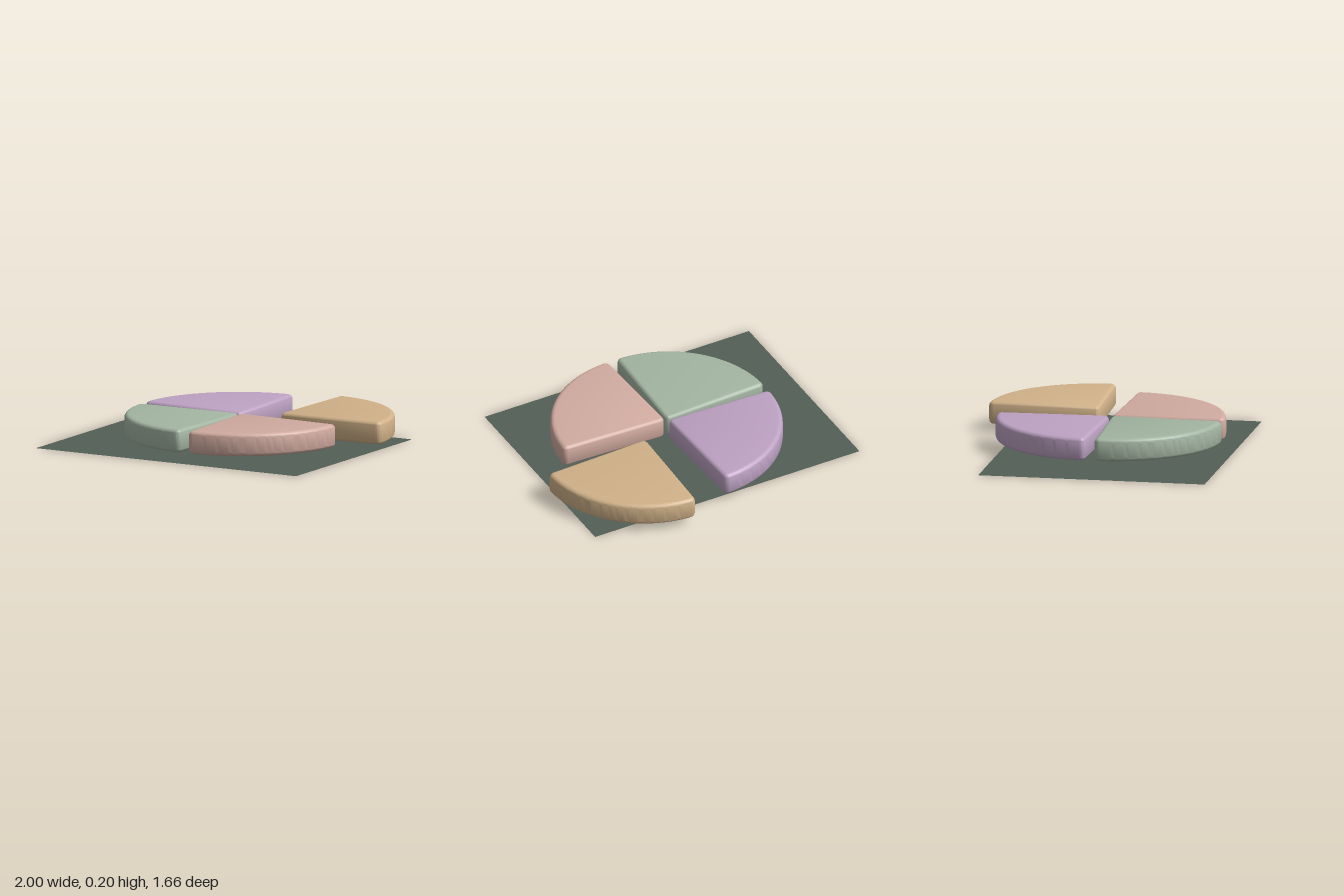
import * as THREE from 'three';
import { toCreasedNormals } from 'three/addons/utils/BufferGeometryUtils.js';

const BEVEL = 0.03, RADIUS = 0.67, TILT = 0.036, FILLET = 0.006;

// Slightly-less-than-quarter disc with tiny corner fillets, lying flat with its tip at the origin
function wedgeGeometry() {
  const a0 = TILT, a1 = Math.PI / 2 - TILT, da = FILLET / RADIUS;
  const at = (r, a) => [r * Math.cos(a), r * Math.sin(a)];
  const shape = new THREE.Shape();
  shape.moveTo(...at(FILLET, a0));
  shape.lineTo(...at(RADIUS - FILLET, a0));
  shape.quadraticCurveTo(...at(RADIUS, a0), ...at(RADIUS, a0 + da));
  shape.absarc(0, 0, RADIUS, a0 + da, a1 - da, false);
  shape.quadraticCurveTo(...at(RADIUS, a1), ...at(RADIUS - FILLET, a1));
  shape.lineTo(...at(FILLET, a1));
  shape.quadraticCurveTo(0, 0, ...at(FILLET, a0));
  const geometry = new THREE.ExtrudeGeometry(shape, {
    depth: 0.15 - 2 * BEVEL, bevelEnabled: true, bevelSize: BEVEL,
    bevelThickness: BEVEL, bevelSegments: 5, curveSegments: 24,
  });
  geometry.rotateX(-Math.PI / 2);
  return toCreasedNormals(geometry, 0.6);
}

function material(name, color, side = THREE.FrontSide) {
  const m = new THREE.MeshStandardMaterial({ color, side });
  m.name = name;
  return m;
}

export function createModel() {
  const group = new THREE.Group();
  group.name = 'quarteredDisc';

  // Flat base sheet
  const base = new THREE.Mesh(
    new THREE.PlaneGeometry(1.935, 1.48).rotateX(-Math.PI / 2),
    material('darkGreen', 0x535f56, THREE.DoubleSide));
  base.name = 'baseSheet';
  base.position.set(-0.0325, 0, 0.09);
  group.add(base);

  // Four wedges, one pulled away from the rest: name, colour, quarter turns, tip x, tip z
  const geometry = wedgeGeometry();
  [
    ['separatedWedge', 'tan', 0xd1b289, 0, 0.297, -0.135],
    ['backWedge', 'lilac', 0xbda2c3, 1, 0.014, -0.02],
    ['frontWedge', 'sageGreen', 0xa3b5a2, 2, 0.014, 0.05],
    ['sideWedge', 'dustyPink', 0xd1aba0, 3, 0.083, 0.05],
  ].forEach(([name, colorName, color, turns, x, z]) => {
    const wedge = new THREE.Mesh(geometry, material(colorName, color));
    wedge.name = name;
    wedge.rotation.y = turns * Math.PI / 2;
    wedge.position.set(x, 0.05 + BEVEL, z);
    group.add(wedge);
  });
  return group;
}
